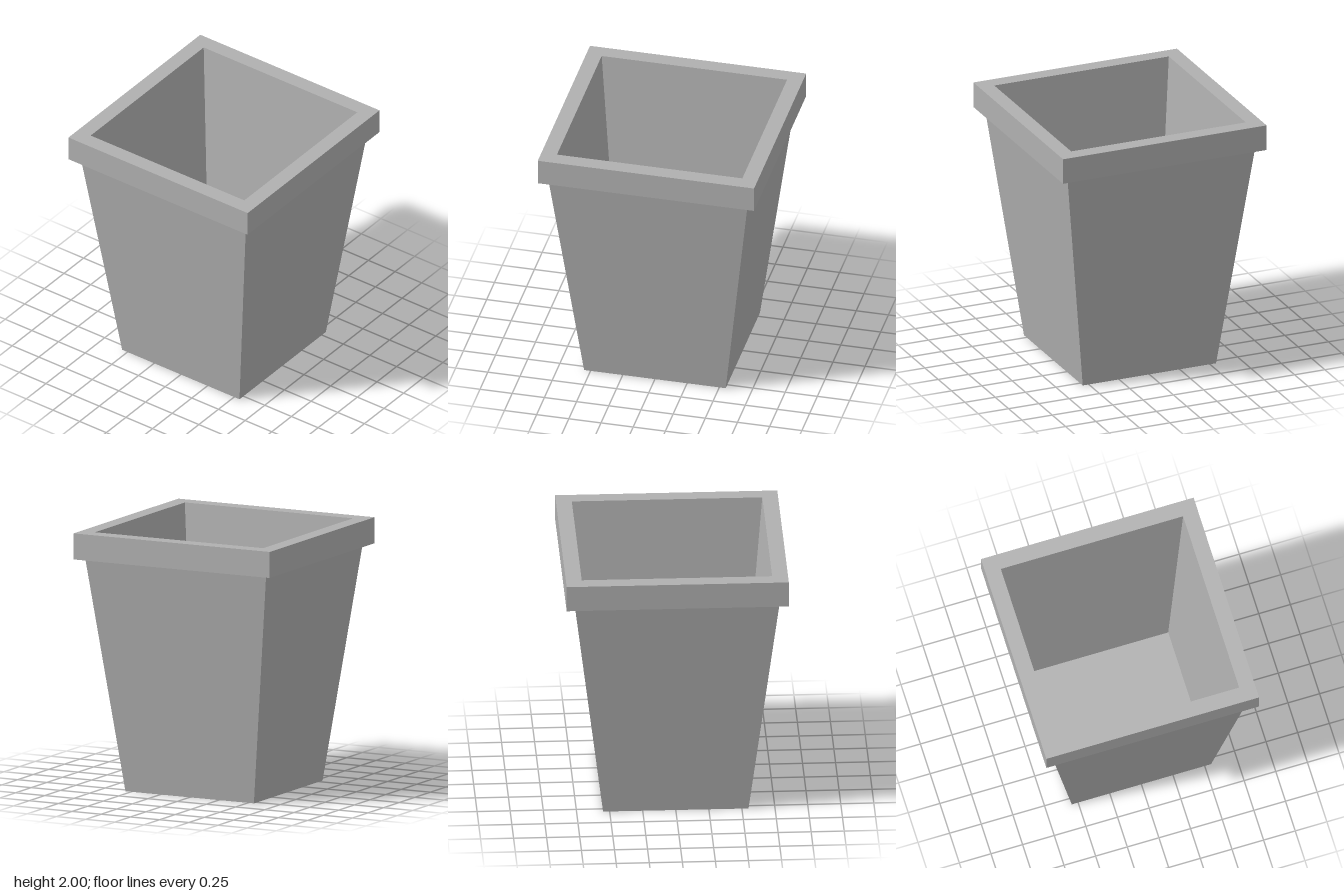
import * as THREE from 'three';

// Square ring surface swept from a profile of [half width, height] points
function squareLathe(profile) {
  const points = profile.map(([w, y]) => new THREE.Vector2(w * Math.SQRT2, y));
  const geometry = new THREE.LatheGeometry(points, 4, Math.PI / 4).toNonIndexed();
  geometry.computeVertexNormals(); // flat faces, sharp edges
  return geometry;
}

export function createModel() {
  const group = new THREE.Group();
  group.name = 'planter';

  const grey = new THREE.MeshStandardMaterial({ color: 0xb0b0b0 });
  grey.name = 'grey';

  const parts = {
    // Closed base and tapered outer walls
    outerWalls: [[0, 0], [0.55, 0], [0.774, 1.8]],
    // Overhanging square rim
    rim: [[0.774, 1.8], [0.84, 1.8], [0.84, 2], [0.72, 2]],
    // Tapered hollow with its floor
    innerWalls: [[0.72, 2], [0.55, 0.02], [0, 0.02]],
  };

  for (const [name, profile] of Object.entries(parts)) {
    const mesh = new THREE.Mesh(squareLathe(profile), grey);
    mesh.name = name;
    group.add(mesh);
  }
  return group;
}
